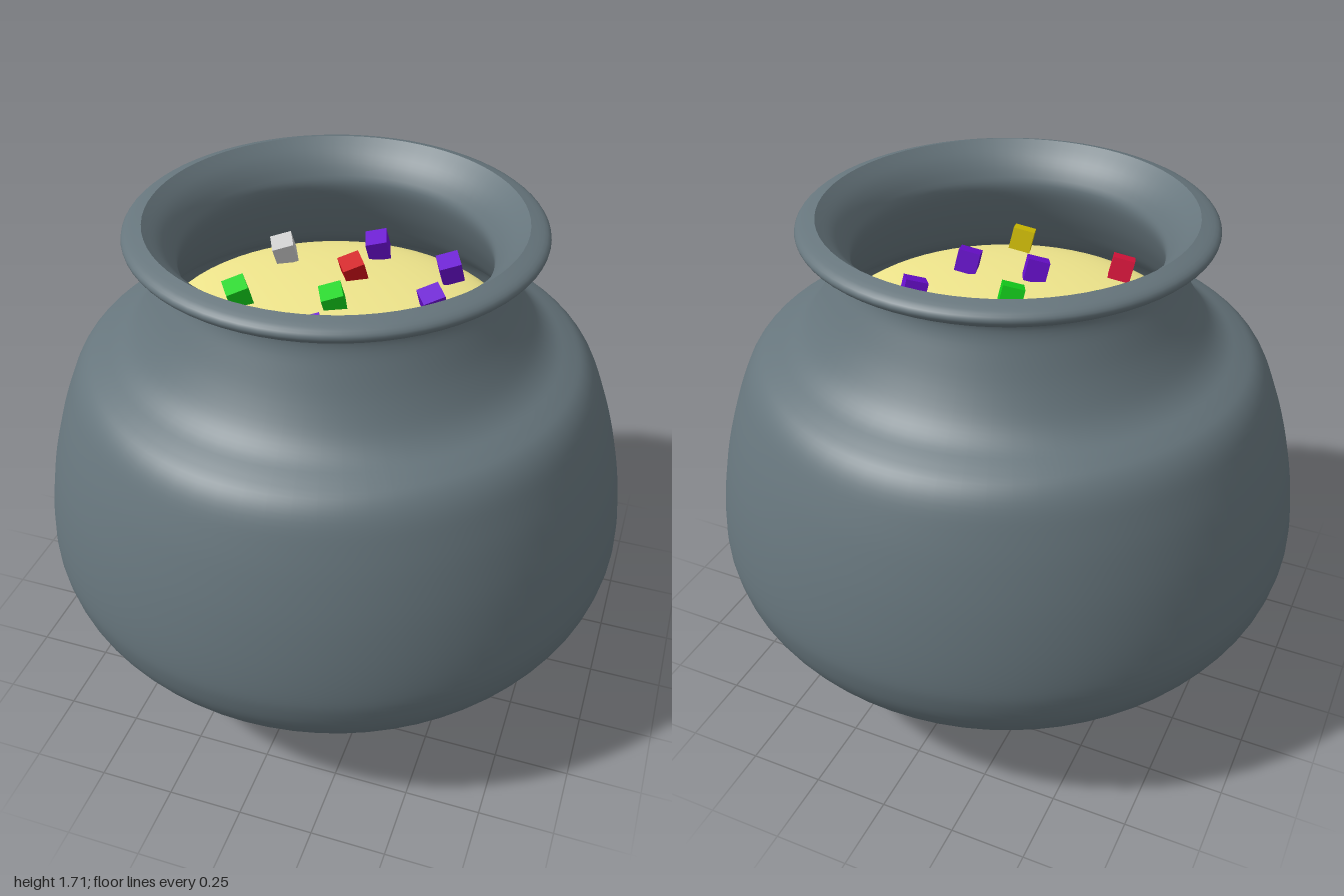
import * as THREE from 'three';

const material = (color, side = THREE.FrontSide) => new THREE.MeshStandardMaterial({ color, side });
const points = (list) => list.map(([r, y]) => new THREE.Vector2(r, y));

function mesh(name, geometry, mat) {
  const m = new THREE.Mesh(geometry, mat);
  m.name = name;
  return m;
}

export function createModel() {
  const group = new THREE.Group();
  group.name = 'cauldron';
  const iron = material(0x66757c, THREE.DoubleSide);

  // Outer wall: round belly, stepped shoulder, neck and rolled lip
  const outer = new THREE.SplineCurve(points([
    [0, 0], [0.2, 0.005], [0.35, 0.025], [0.5, 0.075], [0.65, 0.145], [0.8, 0.245],
    [0.9, 0.34], [0.965, 0.44], [0.993, 0.53], [1, 0.61], [0.99, 0.73], [0.965, 0.87],
    [0.93, 1.0], [0.895, 1.1], [0.86, 1.18], [0.82, 1.23], [0.77, 1.26], [0.71, 1.29],
    [0.66, 1.335], [0.61, 1.41], [0.57, 1.49], [0.544, 1.555], [0.546, 1.595],
    [0.58, 1.62], [0.64, 1.64], [0.665, 1.665], [0.65, 1.688], [0.6, 1.705],
  ])).getPoints(100);
  group.add(mesh('outerWall', new THREE.LatheGeometry(outer, 72), iron));

  // Inner wall: flared mouth, narrow throat, then following the belly inside
  const inner = new THREE.SplineCurve(points([
    [0.6, 1.705], [0.55, 1.66], [0.515, 1.61], [0.5, 1.56], [0.525, 1.48], [0.57, 1.39],
    [0.63, 1.3], [0.72, 1.24], [0.81, 1.17], [0.88, 1.0], [0.94, 0.75], [0.95, 0.58],
    [0.9, 0.42], [0.76, 0.28], [0.5, 0.13], [0.25, 0.06], [0, 0.05],
  ])).getPoints(64);
  group.add(mesh('innerWall', new THREE.LatheGeometry(inner, 72), iron));

  // Brew: flattened dome filling the throat
  const brew = mesh('brew', new THREE.SphereGeometry(0.6, 64, 32), material(0xf0e68c));
  brew.scale.y = 0.1 / 0.6;
  brew.position.y = 1.28;
  group.add(brew);

  // Small cubes floating on the brew: x, z, colour
  const cubes = [
    [0.02, -0.4, 0x6a0fd0], [0.3, -0.32, 0x6a0fd0], [0.3, -0.09, 0x6a0fd0],
    [0.23, 0.18, 0x6a0fd0], [-0.01, 0.21, 0x6a0fd0], [-0.01, -0.21, 0xd01018],
    [-0.27, 0.34, 0xdc143c], [-0.01, 0, 0x14d41c], [-0.32, 0.06, 0x14d41c],
    [0.13, 0.415, 0xd4c000], [-0.28, -0.27, 0xc0c0c0],
  ];
  const cubeGeometry = new THREE.BoxGeometry(0.075, 0.075, 0.075);
  cubes.forEach(([x, z, color], i) => {
    const cube = mesh('floatingCube', cubeGeometry, material(color));
    cube.position.set(x, 1.4, z);
    cube.rotation.set(0.25, 0.3 + (i % 3) * 0.15, 0.15);
    group.add(cube);
  });

  return group;
}
